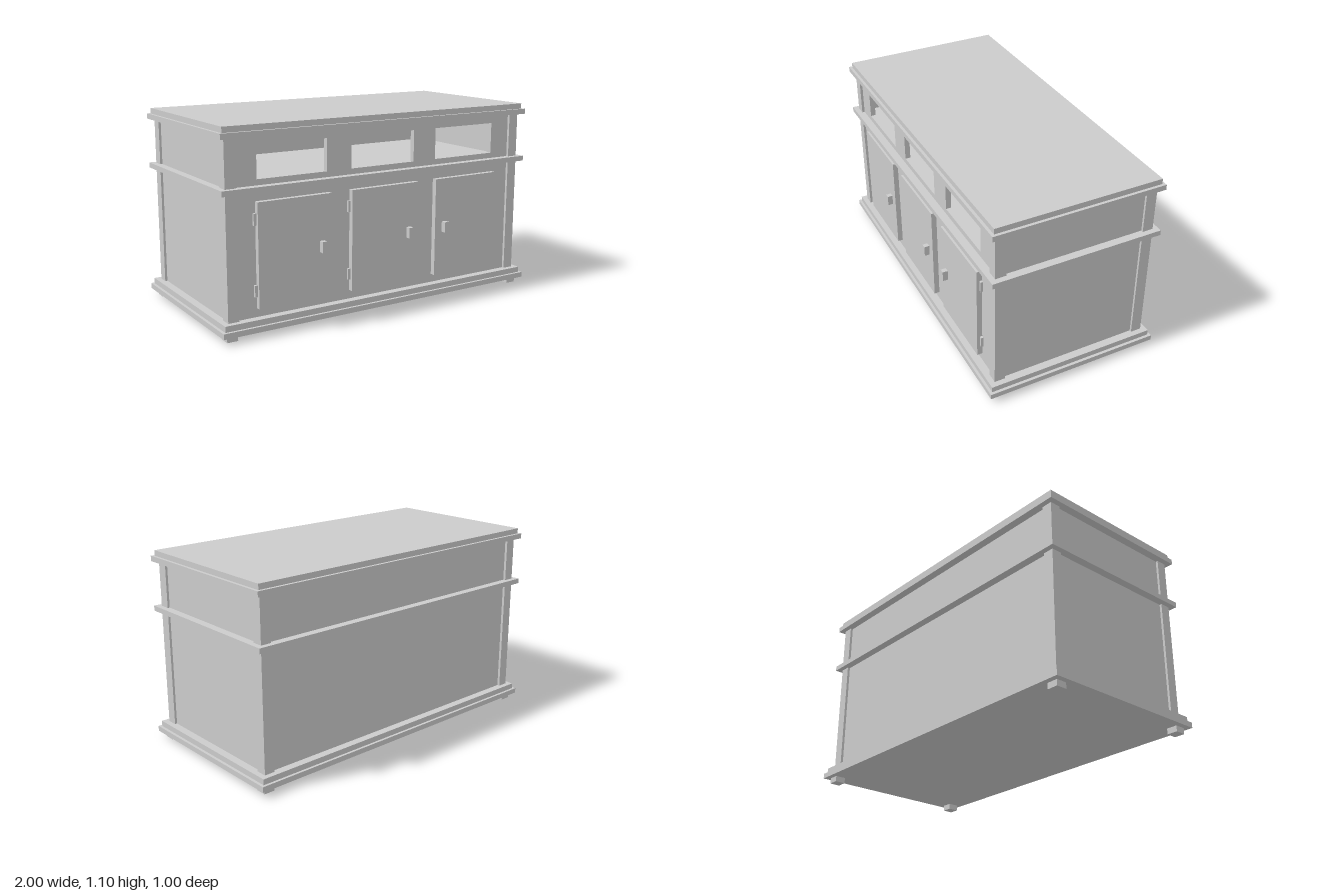
import * as THREE from 'three';

const material = new THREE.MeshStandardMaterial({ color: 0xcccccc, flatShading: true });

export function createModel() {
  const model = new THREE.Group();
  model.name = 'sideboard';

  // Box given by its extents along each axis
  const box = (name, [x0, x1], [y0, y1], [z0, z1]) => {
    const mesh = new THREE.Mesh(new THREE.BoxGeometry(x1 - x0, y1 - y0, z1 - z0), material);
    mesh.position.set((x0 + x1) / 2, (y0 + y1) / 2, (z0 + z1) / 2);
    mesh.name = name;
    model.add(mesh);
  };

  // Horizontal boards: plinth, waist moulding and stepped top
  const board = (name, halfX, halfZ, y0, y1) =>
    box(name, [-halfX, halfX], [y0, y1], [-halfZ, halfZ]);
  board('plinthLower', 1, 0.5, 0.033, 0.063);
  board('plinthUpper', 0.984, 0.485, 0.063, 0.095);
  board('waistBoard', 0.984, 0.485, 0.755, 0.784);
  board('topMoulding', 0.984, 0.485, 1.035, 1.065);
  board('topBoard', 0.968, 0.469, 1.065, 1.096);

  // Feet and corner posts
  for (const sx of [-1, 1]) {
    for (const sz of [-1, 1]) {
      const span = (s, a, b) => (s > 0 ? [a, b] : [-b, -a]);
      box('foot', span(sx, 0.907, 0.968), [0, 0.033], span(sz, 0.408, 0.469));
      box('cornerPost', span(sx, 0.892, 0.953), [0.095, 1.035], span(sz, 0.394, 0.455));
    }
  }

  // Recessed side and back panels
  box('leftPanel', [0.91, 0.94], [0.095, 1.035], [-0.44, 0.44]);
  box('rightPanel', [-0.94, -0.91], [0.095, 1.035], [-0.44, 0.44]);
  box('backPanel', [-0.91, 0.91], [0.095, 1.035], [-0.44, -0.41]);
  box('lowerFrontPanel', [-0.91, 0.91], [0.095, 0.755], [0.41, 0.44]);

  // Upper front panel with three openings into the hollow compartment
  const rect = (Type, x0, x1, y0, y1) => new Type([
    new THREE.Vector2(x0, y0), new THREE.Vector2(x1, y0),
    new THREE.Vector2(x1, y1), new THREE.Vector2(x0, y1),
  ]);
  const front = rect(THREE.Shape, -0.91, 0.91, 0.784, 1.035);
  for (const x of [-0.564, -0.002, 0.56]) {
    front.holes.push(rect(THREE.Path, x - 0.206, x + 0.206, 0.815, 0.99));
  }
  const upper = new THREE.Mesh(
    new THREE.ExtrudeGeometry(front, { depth: 0.03, bevelEnabled: false }), material);
  upper.position.z = 0.41;
  upper.name = 'upperFrontPanel';
  model.add(upper);

  // Doors with handle and hinges; side is the direction of the hinge edge
  const doors = [
    { x: -0.565, side: -1 },
    { x: -0.002, side: -1 },
    { x: 0.56, side: 1 },
  ];
  for (const { x, side } of doors) {
    box('door', [x - 0.218, x + 0.218], [0.143, 0.704], [0.44, 0.47]);
    const hx = x - side * 0.156;
    box('handle', [hx - 0.014, hx + 0.014], [0.395, 0.455], [0.47, 0.5]);
    const edge = x + side * 0.218;
    for (const y of [0.237, 0.613]) {
      box('hinge', [edge - 0.015, edge + 0.015], [y - 0.031, y + 0.031], [0.44, 0.454]);
    }
  }
  return model;
}
